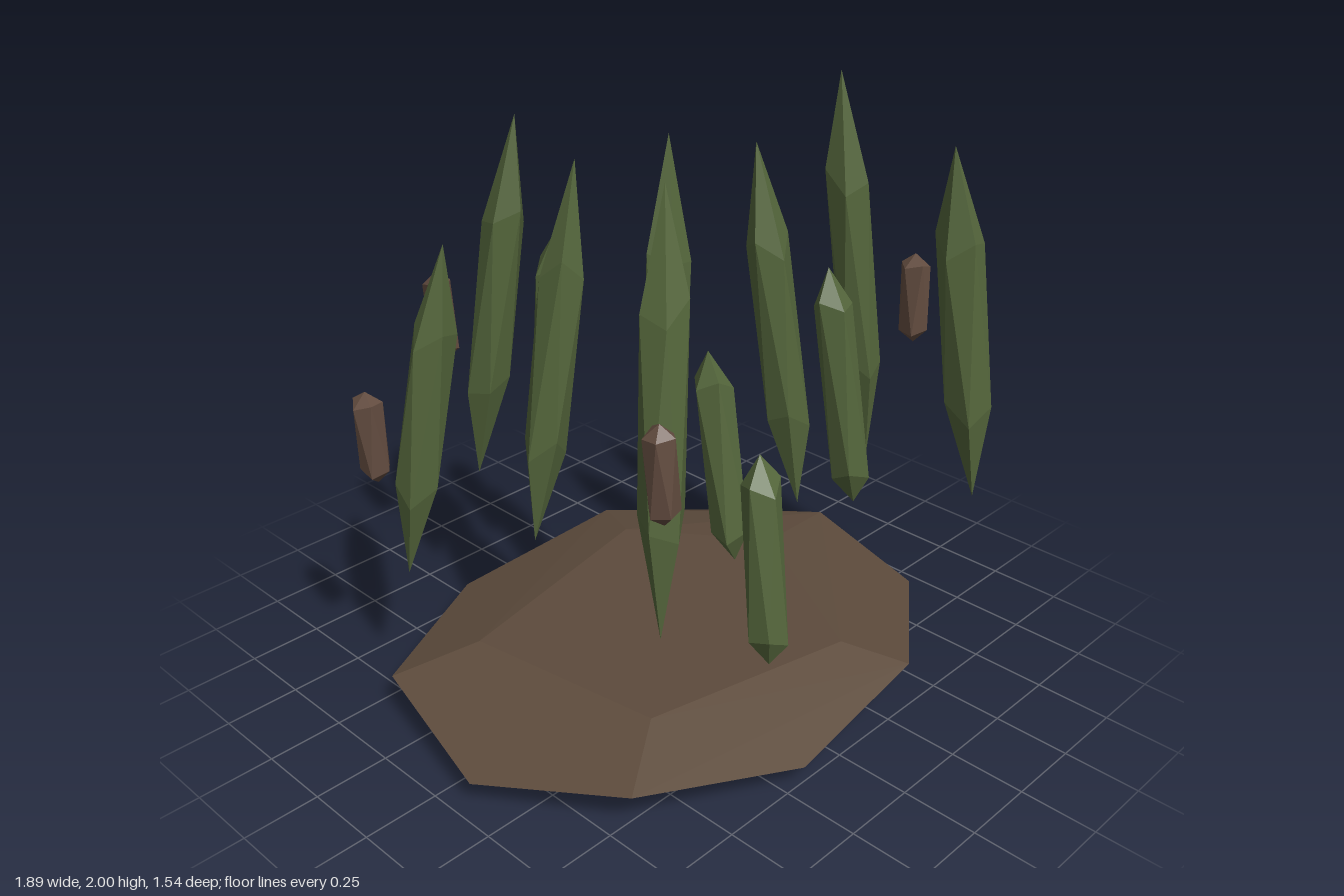
import * as THREE from 'three';
import { ConvexGeometry } from 'three/addons/geometries/ConvexGeometry.js';

const flat = (name, color) => {
  const m = new THREE.MeshStandardMaterial({ color, flatShading: true });
  m.name = name;
  return m;
};

// Faceted spindle between two tips, with a five-sided ring at each shoulder
function spindle(top, bottom, r, low, high, phase) {
  const a = new THREE.Vector3(...bottom), b = new THREE.Vector3(...top);
  const points = [a, b];
  for (let i = 0; i < 5; i++) {
    [low, high].forEach((t, k) => {
      const ang = phase + (i + k * 0.5) * Math.PI * 2 / 5;
      const p = a.clone().lerp(b, t + 0.03 * Math.sin(i * 2.4 + phase));
      p.x += r * Math.cos(ang);
      p.z += r * Math.sin(ang);
      points.push(p);
    });
  }
  return new ConvexGeometry(points);
}

export function createModel() {
  const model = new THREE.Group();
  const soil = flat('soil brown', 0x5d4b3c);
  const green = flat('leaf green', 0x55673c);
  const bark = flat('pod brown', 0x654e41);

  const add = (name, geometry, material) => {
    const mesh = new THREE.Mesh(geometry, material);
    mesh.name = name;
    model.add(mesh);
  };

  // Flattened twelve-faced base: top pentagon, zigzag rim, bottom pentagon
  const base = [
    [0.27, 0.19, -0.48], [0.6, 0.18, -0.06], [0.27, 0.185, 0.53], [-0.46, 0.195, 0.38], [-0.57, 0.2, -0.3],
    [-0.27, 0.08, -0.745], [0.39, 0.13, -0.71], [0.83, 0.08, -0.39], [0.94, 0.14, -0.1], [0.86, 0.08, 0.38],
    [0.39, 0.13, 0.72], [-0.2, 0.08, 0.77], [-0.7, 0.13, 0.54], [-0.95, 0.08, 0.11], [-0.83, 0.13, -0.43],
    [-0.18, 0.02, -0.52], [0.55, 0.01, -0.27], [0.57, 0.0, 0.25], [-0.13, 0.015, 0.5], [-0.6, 0.03, 0.07],
  ];
  add('base', new ConvexGeometry(base.map(p => new THREE.Vector3(...p))), soil);

  // Tall pointed blades: top tip, bottom tip, radius
  const tall = [
    [[-0.61, 1.58, -0.3], [-0.75, 0.5, -0.4], 0.07],
    [[-0.2, 1.85, -0.45], [-0.29, 0.6, -0.61], 0.07],
    [[-0.25, 1.79, -0.13], [-0.4, 0.55, -0.2], 0.07],
    [[-0.15, 1.9, 0.15], [-0.25, 0.57, 0.22], 0.07],
    [[0.22, 1.8, 0.15], [0.36, 0.56, 0.25], 0.07],
    [[0.43, 2.0, 0.29], [0.6, 0.67, 0.34], 0.068],
    [[-0.43, 1.88, 0.41], [-0.54, 0.58, 0.5], 0.07],
    [[0.65, 1.78, 0.56], [0.77, 0.58, 0.66], 0.078],
  ];
  tall.forEach(([t, b, r], i) => add('tallBlade', spindle(t, b, r, 0.27, 0.74, i * 0.9), green));

  // Short blunt blades
  const short = [
    [[0, 1.4, -0.52], [0.01, 0.57, -0.6], 0.06],
    [[0, 1.2, 0.17], [0.02, 0.5, 0.28], 0.064],
    [[0.39, 1.4, 0.31], [0.48, 0.57, 0.39], 0.064],
    [[-0.25, 1.1, 0.6], [-0.275, 0.45, 0.68], 0.06],
  ];
  short.forEach(([t, b, r], i) => add('shortBlade', spindle(t, b, r, 0.14, 0.86, i * 1.1 + 0.3), green));

  // Small floating pods around the cluster
  const pods = [
    [-0.815, 0.985, -0.44], [-0.605, 1.16, 0.57], [0.7, 1.24, 0.42], [-0.32, 1.15, -0.725],
  ];
  pods.forEach(([x, y, z], i) => add('pod',
    spindle([x - 0.01, y + 0.155, z], [x + 0.01, y - 0.155, z], 0.048, 0.14, 0.88, i * 0.7), bark));

  return model;
}
